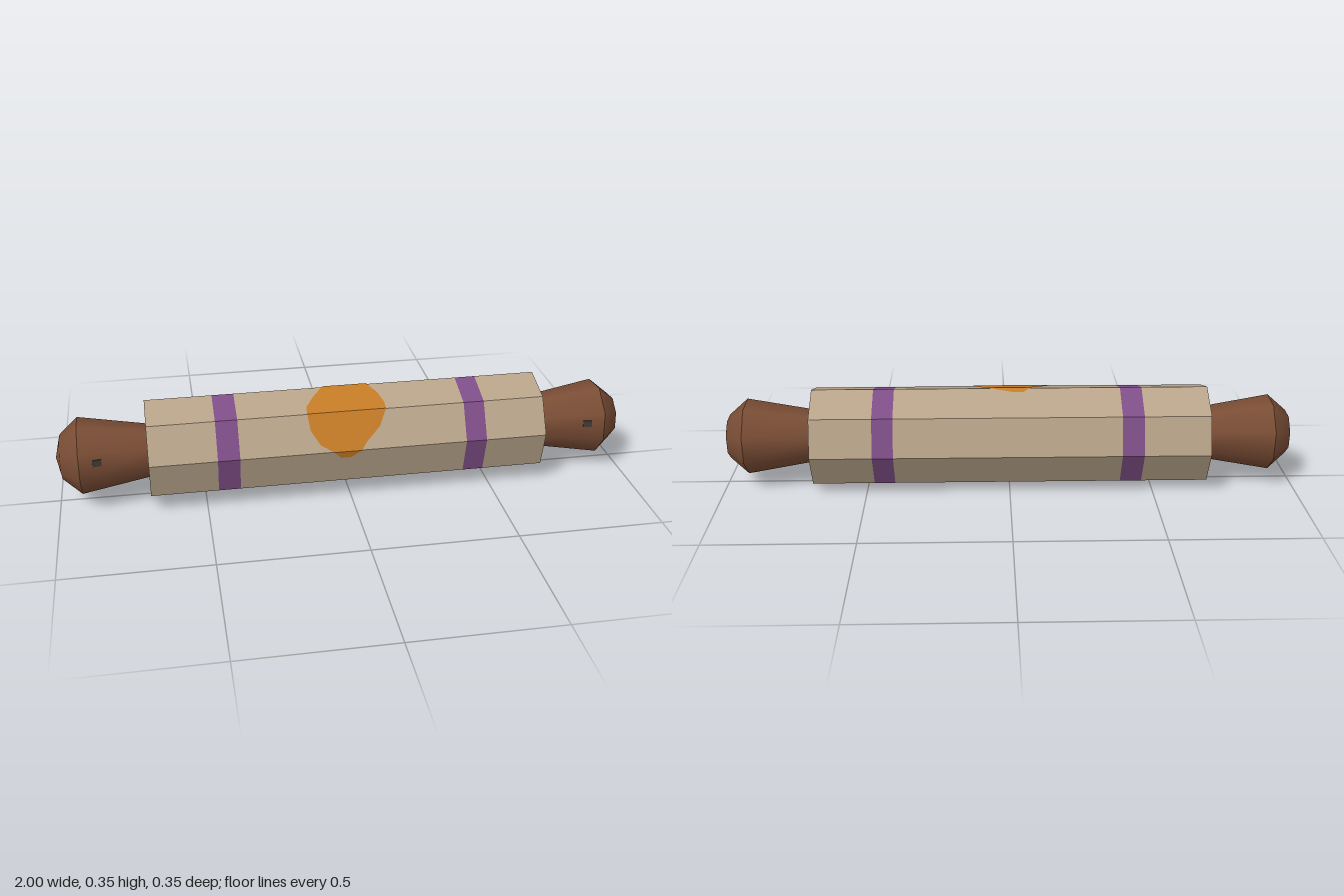
import * as THREE from 'three';

const mat = (name, color, side = THREE.FrontSide, flatShading = true) => {
  const m = new THREE.MeshStandardMaterial({ color, side, flatShading });
  m.name = name;
  return m;
};

const R = 0.177;                 // roll radius, eight-sided
const CY = 0.177;                // roll axis height
const TURN = THREE.MathUtils.degToRad(6.5);
const GRIP_TURN = THREE.MathUtils.degToRad(27);

export function createModel() {
  const paper = mat('paper', 0xb8a48a);
  const purple = mat('purple ribbon', 0x7f4e88);
  const dark = mat('dark end', 0x443c34);
  const orange = mat('orange stain', 0xc57c26, THREE.DoubleSide);
  const wood = mat('wood', 0x7a4d35, THREE.FrontSide, false);

  const root = new THREE.Group();
  root.name = 'scroll';
  const add = (name, geometry, material, y = CY, z = 0) => {
    const mesh = new THREE.Mesh(geometry, material);
    mesh.name = name;
    mesh.position.set(0, y, z);
    root.add(mesh);
    return mesh;
  };

  // Rolled paper, split along its length by the two ribbons
  const cuts = [-0.69, -0.46, -0.385, 0.4, 0.472, 0.686];
  for (let i = 0; i < cuts.length - 1; i++) {
    const g = new THREE.CylinderGeometry(R, R, cuts[i + 1] - cuts[i], 8, 1, true, -TURN);
    g.rotateZ(-Math.PI / 2).translate((cuts[i] + cuts[i + 1]) / 2, 0, 0);
    add(i % 2 ? 'ribbon' : 'paperRoll', g, i % 2 ? purple : paper);
  }

  for (const side of [-1, 1]) {
    // Dark roll end
    const end = new THREE.CircleGeometry(R, 8, -side * TURN);
    end.rotateY(side * Math.PI / 2).translate(side > 0 ? 0.686 : -0.69, 0, 0);
    add('rollEnd', end, dark);

    // Flared grip and its domed knob, parted by a sharp rim
    const turned = (profile) => {
      const pts = profile.map(([x, r]) => new THREE.Vector2(r, side * x));
      if (side < 0) pts.reverse();
      return new THREE.LatheGeometry(pts, 8, -GRIP_TURN).rotateZ(-Math.PI / 2);
    };
    add('handleGrip', turned([[0.67, 0.089], [0.92, 0.132]]), wood, 0.174, 0.004);
    add('handleKnob', turned([[0.92, 0.132], [0.983, 0.076], [1, 0]]), wood, 0.174, 0.004);

    // Small dark peg mark on the front of the grip
    const peg = add('pegMark', new THREE.BoxGeometry(0.03, 0.024, 0.006), dark, 0.197, 0.115);
    peg.position.x = side * 0.86;
    peg.rotation.y = -side * 0.16;
  }

  // Stain wrapped over the facets: distance round the roll, left x, right x
  const edge = 2 * R * Math.sin(Math.PI / 8);
  const rows = [
    [-0.02, -0.05, -0.01], [0, -0.075, 0.08], [0.05, -0.115, 0.11],
    [0.1, -0.145, 0.125], [edge, -0.148, 0.125], [0.193, -0.14, 0.1],
    [0.243, -0.11, 0.05], [2 * edge, -0.065, 0.03], [0.298, -0.04, -0.005],
  ];
  const corner = (k) => {
    const a = TURN + Math.PI / 2 - k * Math.PI / 4;
    return new THREE.Vector2(Math.cos(a), Math.sin(a)).multiplyScalar(R + 0.003);
  };
  const pos = [], idx = [];
  rows.forEach(([s, left, right], i) => {
    const k = Math.floor(s / edge);
    const p = corner(k).lerp(corner(k + 1), s / edge - k);
    pos.push(left, p.y, p.x, right, p.y, p.x);
    if (i) {
      const a = 2 * i - 2;
      idx.push(a, a + 2, a + 1, a + 1, a + 2, a + 3);
    }
  });
  const stain = new THREE.BufferGeometry();
  stain.setAttribute('position', new THREE.Float32BufferAttribute(pos, 3));
  stain.setIndex(idx);
  stain.computeVertexNormals();
  add('stain', stain, orange);

  return root;
}
